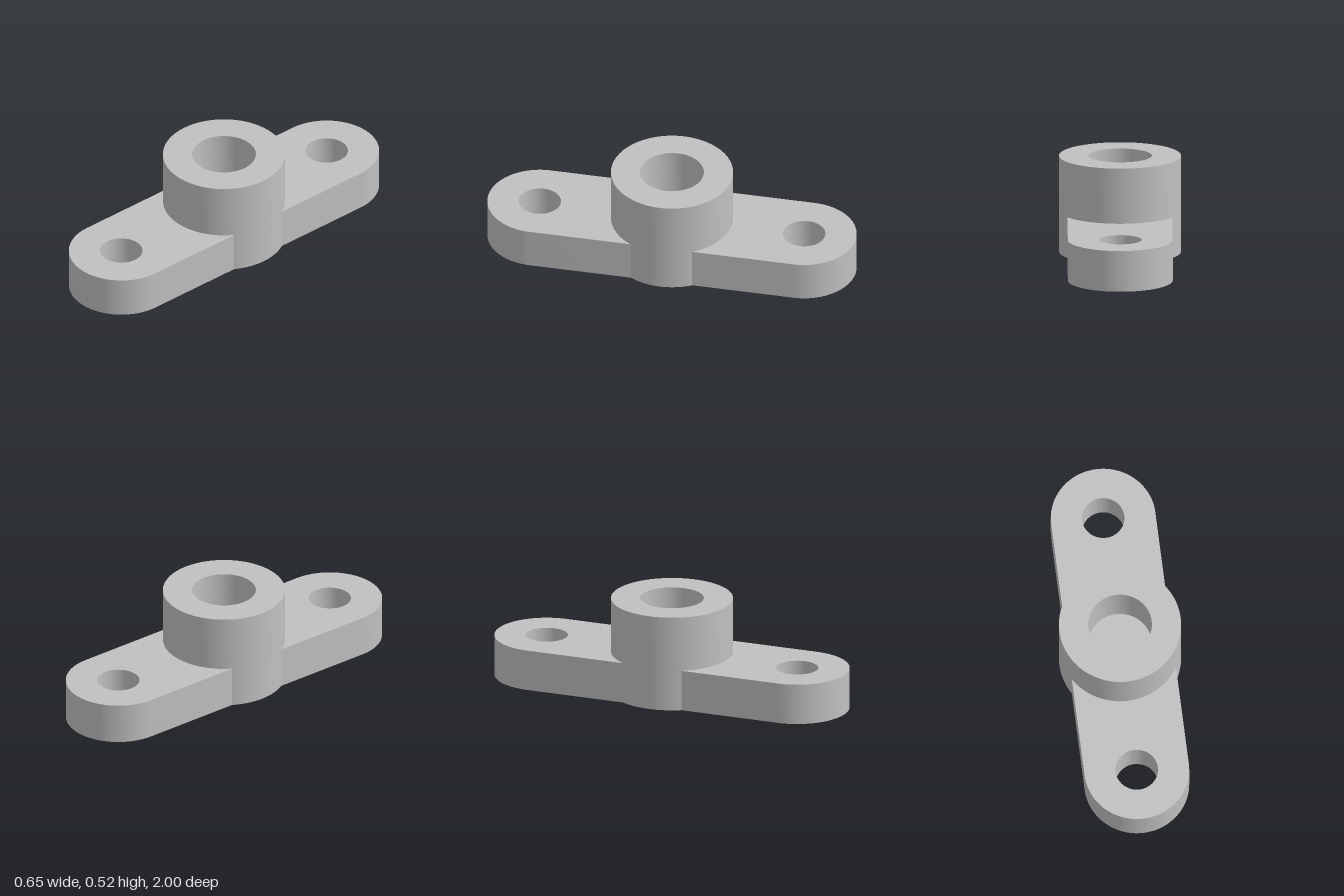
import * as THREE from 'three';
import { toCreasedNormals } from 'three/addons/utils/BufferGeometryUtils.js';

const PLATE_H = 0.222, TOP = 0.523;
const END_R = 0.28, END_Z = 0.72, HOLE_R = 0.113;
const BOSS_R = 0.326, BORE_R = 0.17;

export function createModel() {
  const group = new THREE.Group();
  group.name = 'flangedBoss';
  const metal = new THREE.MeshStandardMaterial({ color: 0xc0c0c0 });
  metal.name = 'grey metal';

  const add = (name, geometry) => {
    const mesh = new THREE.Mesh(toCreasedNormals(geometry, 0.5), metal);
    mesh.name = name;
    group.add(mesh);
    return mesh;
  };

  // Base plate: round-ended bar that swells around the boss, with two bolt holes
  const a = Math.acos(END_R / BOSS_R);
  const outline = new THREE.Shape();
  outline.absarc(0, 0, BOSS_R, -a, a);
  outline.absarc(0, END_Z, END_R, 0, Math.PI);
  outline.absarc(0, 0, BOSS_R, Math.PI - a, Math.PI + a);
  outline.absarc(0, -END_Z, END_R, Math.PI, 2 * Math.PI);
  for (const side of [1, -1]) {
    outline.holes.push(new THREE.Path().absarc(0, side * END_Z, HOLE_R, 0, 2 * Math.PI, true));
  }
  const plate = new THREE.ExtrudeGeometry(outline, {
    depth: PLATE_H, bevelEnabled: false, curveSegments: 48,
  });
  plate.rotateX(-Math.PI / 2);
  add('basePlate', plate);

  // Boss: hollow cylinder whose blind bore ends on the plate
  const profile = [
    [BOSS_R, PLATE_H], [BOSS_R, TOP], [BORE_R, TOP], [BORE_R, PLATE_H],
  ].map(([r, y]) => new THREE.Vector2(r, y));
  add('boss', new THREE.LatheGeometry(profile, 96));

  return group;
}
